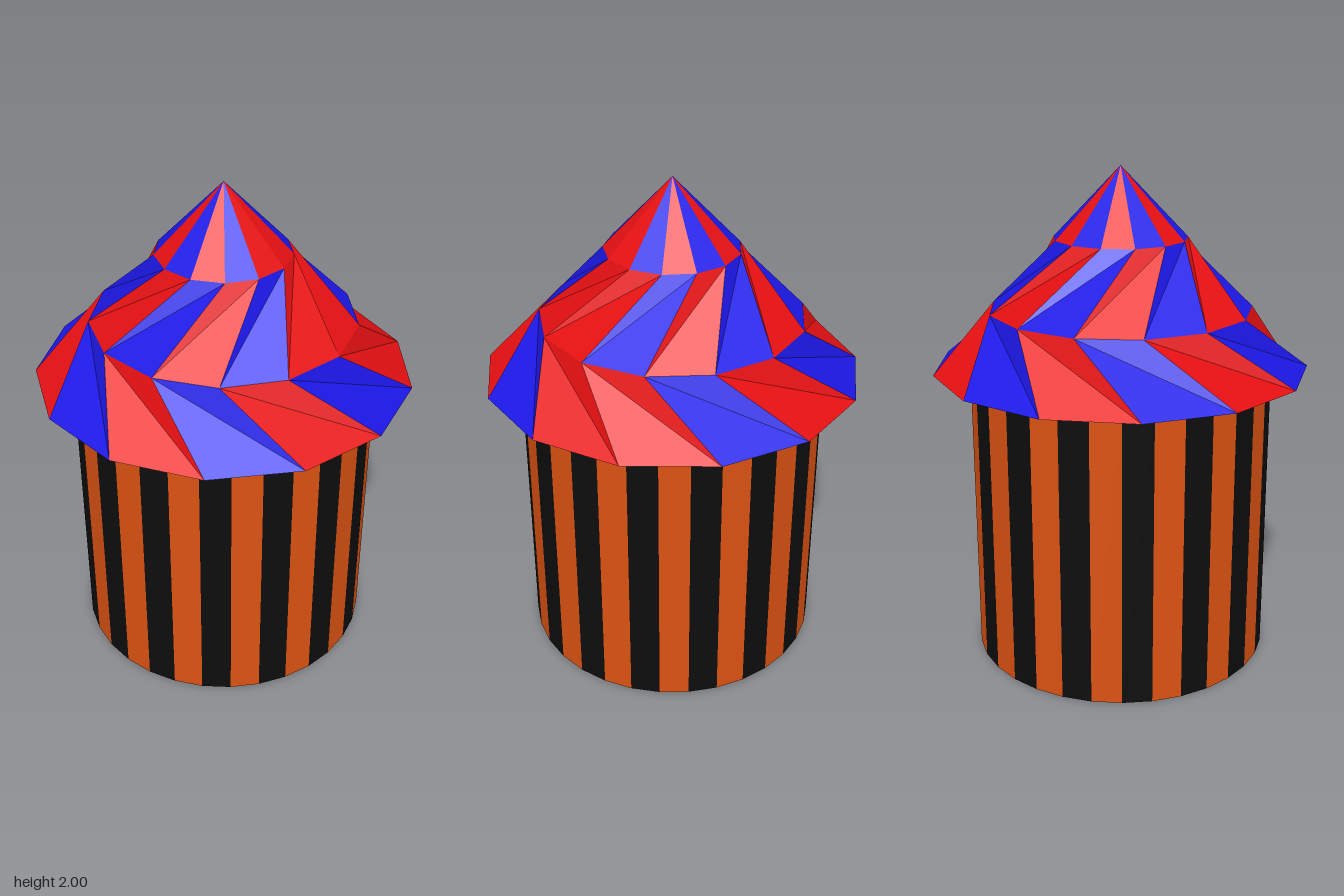
import * as THREE from 'three';
import { mergeGeometries } from 'three/addons/utils/BufferGeometryUtils.js';

const CENTRE = -0.007;
const STRIPES = 32;
const SIDES = 13;
const STEP = (Math.PI * 2) / SIDES;

const RED = 0xe61012, BLUE = 0x1c17e6, ORANGE = 0xdc5212, BLACK = 0x0d0d0d;

function addPart(group, name, geometry, color) {
  const material = new THREE.MeshStandardMaterial({ color, flatShading: true });
  const mesh = new THREE.Mesh(geometry, material);
  mesh.name = name;
  group.add(mesh);
  return mesh;
}

// Drum wall: every second stripe of the cylinder
function stripes(parity) {
  const arc = (Math.PI * 2) / STRIPES;
  const parts = [];
  for (let i = parity; i < STRIPES; i += 2) {
    parts.push(new THREE.CylinderGeometry(0.61, 0.61, 1.2, 1, 1, true, i * arc, arc));
  }
  return mergeGeometries(parts).translate(0, 0.6, 0);
}

// Twisted roof rings from the eaves up: radius, height, turn in degrees
const RINGS = [
  [0.758, 1.2, 3.46],
  [0.531, 1.44, 27.69],
  [0.268, 1.72, -2.6],
  [0, 2, 0],
];

function ringPoint(ring, i) {
  const [r, y, turn] = RINGS[ring];
  const a = THREE.MathUtils.degToRad(turn) + i * STEP;
  return [r * Math.cos(a), y, r * Math.sin(a)];
}

// The odd number of sides leaves two red panels side by side in each band
function isBlue(band, i) {
  if (band === 0) return i % 2 === 0 && i !== 12;
  if (band === 1) return i % 2 === 1;
  return i % 2 === 0 && i !== 0;
}

function roofPanels(blue) {
  const points = [];
  for (let band = 0; band < 3; band++) {
    for (let i = 0; i < SIDES; i++) {
      if (isBlue(band, i) !== blue) continue;
      const a = ringPoint(band, i), b = ringPoint(band, i + 1);
      const c = ringPoint(band + 1, i), d = ringPoint(band + 1, i + 1);
      // The split follows the longer diagonal, so the twisted panels fold inwards
      if (band === 0) points.push(b, a, d, a, c, d);
      else if (band === 1) points.push(b, a, c, b, c, d);
      else points.push(b, a, c);
    }
  }
  const geometry = new THREE.BufferGeometry();
  geometry.setAttribute('position', new THREE.Float32BufferAttribute(points.flat(), 3));
  geometry.computeVertexNormals();
  return geometry;
}

export function createModel() {
  const model = new THREE.Group();
  model.name = 'stripedHut';

  // Striped drum with a dark floor
  const drum = new THREE.Group();
  drum.name = 'drum';
  addPart(drum, 'blackStripes', stripes(0), BLACK);
  addPart(drum, 'orangeStripes', stripes(1), ORANGE);
  addPart(drum, 'floor', new THREE.CircleGeometry(0.61, STRIPES).rotateX(Math.PI / 2), BLACK);

  // Twisted roof with a flat underside
  const roof = new THREE.Group();
  roof.name = 'roof';
  addPart(roof, 'redPanels', roofPanels(false), RED);
  addPart(roof, 'bluePanels', roofPanels(true), BLUE);
  const turn = THREE.MathUtils.degToRad(RINGS[0][2]);
  const underside = new THREE.CircleGeometry(RINGS[0][0], SIDES, turn).rotateX(Math.PI / 2);
  addPart(roof, 'roofUnderside', underside, RED).position.y = RINGS[0][1];

  for (const part of [drum, roof]) {
    part.position.set(CENTRE, 0, CENTRE);
    model.add(part);
  }
  return model;
}
